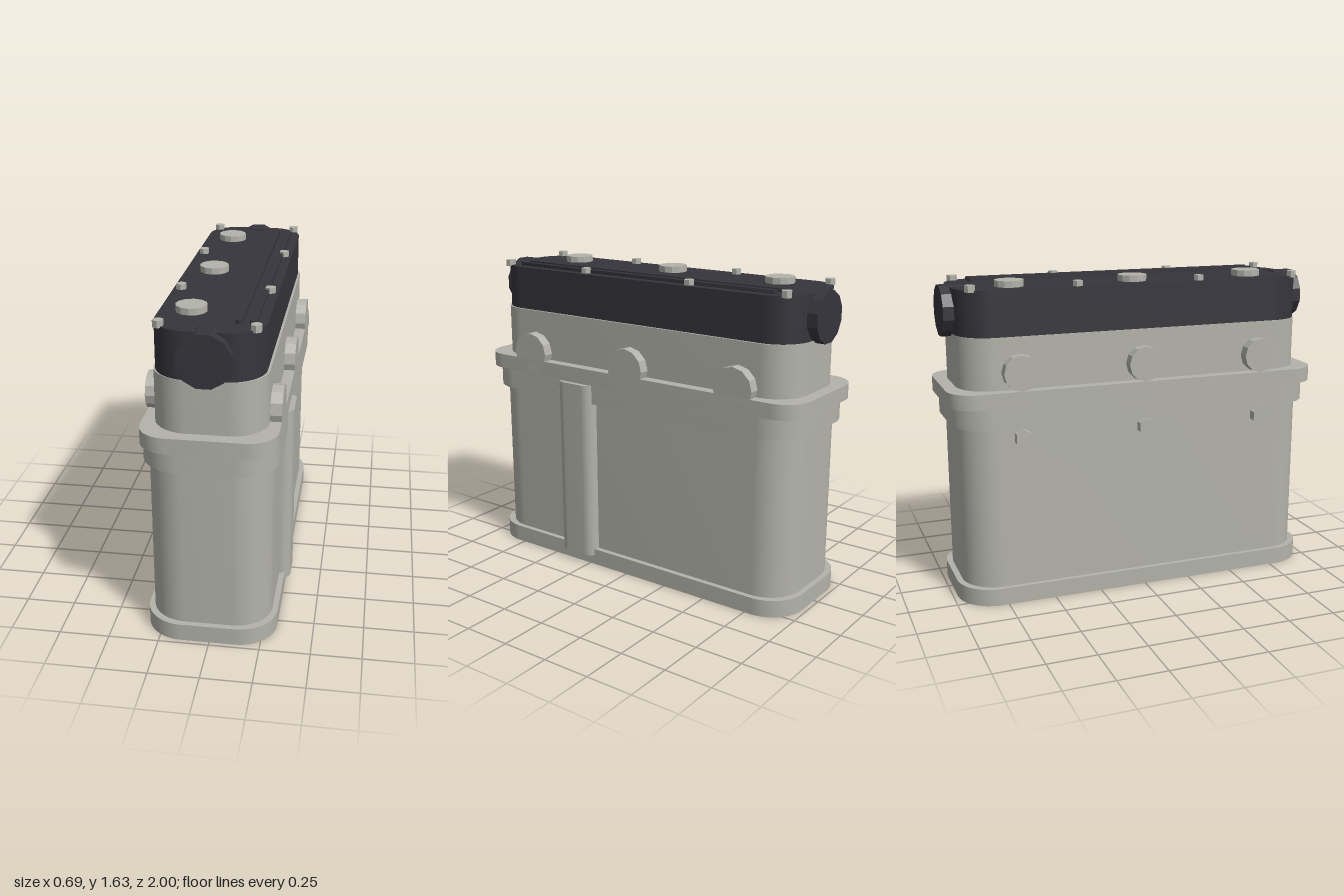
import * as THREE from 'three';
import { toCreasedNormals } from 'three/addons/utils/BufferGeometryUtils.js';

export function createModel() {
  const model = new THREE.Group();
  model.name = 'engineBlock';
  const grey = new THREE.MeshStandardMaterial({ color: 0xb3b3ab });
  grey.name = 'castGrey';
  const dark = new THREE.MeshStandardMaterial({ color: 0x36353c });
  dark.name = 'darkCover';

  const add = (name, geometry, material) => {
    const mesh = new THREE.Mesh(toCreasedNormals(geometry, 0.4), material);
    mesh.name = name;
    model.add(mesh);
    return mesh;
  };

  // Upright slab with rounded corners in plan, between two heights
  const slab = (name, x0, x1, z, r, y0, y1, material, segments = 8) => {
    const s = new THREE.Shape();
    s.moveTo(x0 + r, -z);
    s.lineTo(x1 - r, -z);
    s.absarc(x1 - r, -z + r, r, -Math.PI / 2, 0, false);
    s.lineTo(x1, z - r);
    s.absarc(x1 - r, z - r, r, 0, Math.PI / 2, false);
    s.lineTo(x0 + r, z);
    s.absarc(x0 + r, z - r, r, Math.PI / 2, Math.PI, false);
    s.lineTo(x0, -z + r);
    s.absarc(x0 + r, -z + r, r, Math.PI, Math.PI * 1.5, false);
    const g = new THREE.ExtrudeGeometry(s, { depth: y1 - y0, bevelEnabled: false, curveSegments: segments });
    g.rotateX(-Math.PI / 2);
    g.translate(0, y0, 0);
    return add(name, g, material);
  };

  // Faceted disc whose axis runs along x, y or z
  const disc = (name, axis, r, length, sides, x, y, z, material, turn = 0) => {
    const g = new THREE.CylinderGeometry(r, r, length, sides);
    g.rotateY(turn);
    if (axis === 'x') g.rotateZ(Math.PI / 2);
    if (axis === 'z') g.rotateX(Math.PI / 2);
    g.translate(x, y, z);
    return add(name, g, material);
  };

  // Stacked castings
  slab('baseFlange', -0.332, 0.318, 0.977, 0.19, 0, 0.09, grey);
  slab('crankcase', -0.307, 0.29, 0.947, 0.18, 0.09, 0.925, grey);
  slab('middleFlange', -0.332, 0.318, 0.977, 0.19, 0.925, 1.032, grey);
  slab('upperFlange', -0.332, 0.318, 1.0, 0.14, 1.032, 1.11, grey, 4);
  slab('cylinderHead', -0.275, 0.262, 0.935, 0.17, 1.11, 1.372, grey);
  slab('headCover', -0.267, 0.25, 0.935, 0.17, 1.372, 1.6, dark);

  // Round covers on both ends
  for (const side of [1, -1])
    disc(side > 0 ? 'frontEndCap' : 'backEndCap', 'z', 0.13, 0.12, 12, -0.008, 1.48, side * 0.925, dark, Math.PI / 12);

  // Three ports, bosses, side bolts and filler caps along the length
  for (const z of [-0.65, 0, 0.65]) {
    disc('leftBoss', 'x', 0.11, 0.08, 12, 0.278, 1.145, z, grey);
    disc('rightPort', 'x', 0.09, 0.08, 12, -0.292, 1.2, z, grey);
    disc('sideBolt', 'x', 0.046, 0.044, 6, -0.328, 0.875, z, grey, Math.PI / 6);
    disc('fillerCap', 'y', 0.075, 0.04, 12, -0.118, 1.612, z, grey);
  }

  // Cover bolts
  for (const x of [-0.228, 0.21])
    for (const z of [-0.87, -0.327, 0.327, 0.87])
      disc('coverBolt', 'y', 0.027, 0.034, 6, x, 1.61, z, grey);

  // Long ribs on the cover
  for (const x of [0.122, 0.187]) {
    slab('coverRib', x - 0.016, x + 0.016, 0.805, 0.015, 1.595, 1.618, dark, 3);
  }

  // Rounded channel up the left side
  const channel = slab('sideChannel', 0.2, 0.345, 0.12, 0.06, 0.053, 1.025, grey);
  channel.position.z = 0.33;

  return model;
}
